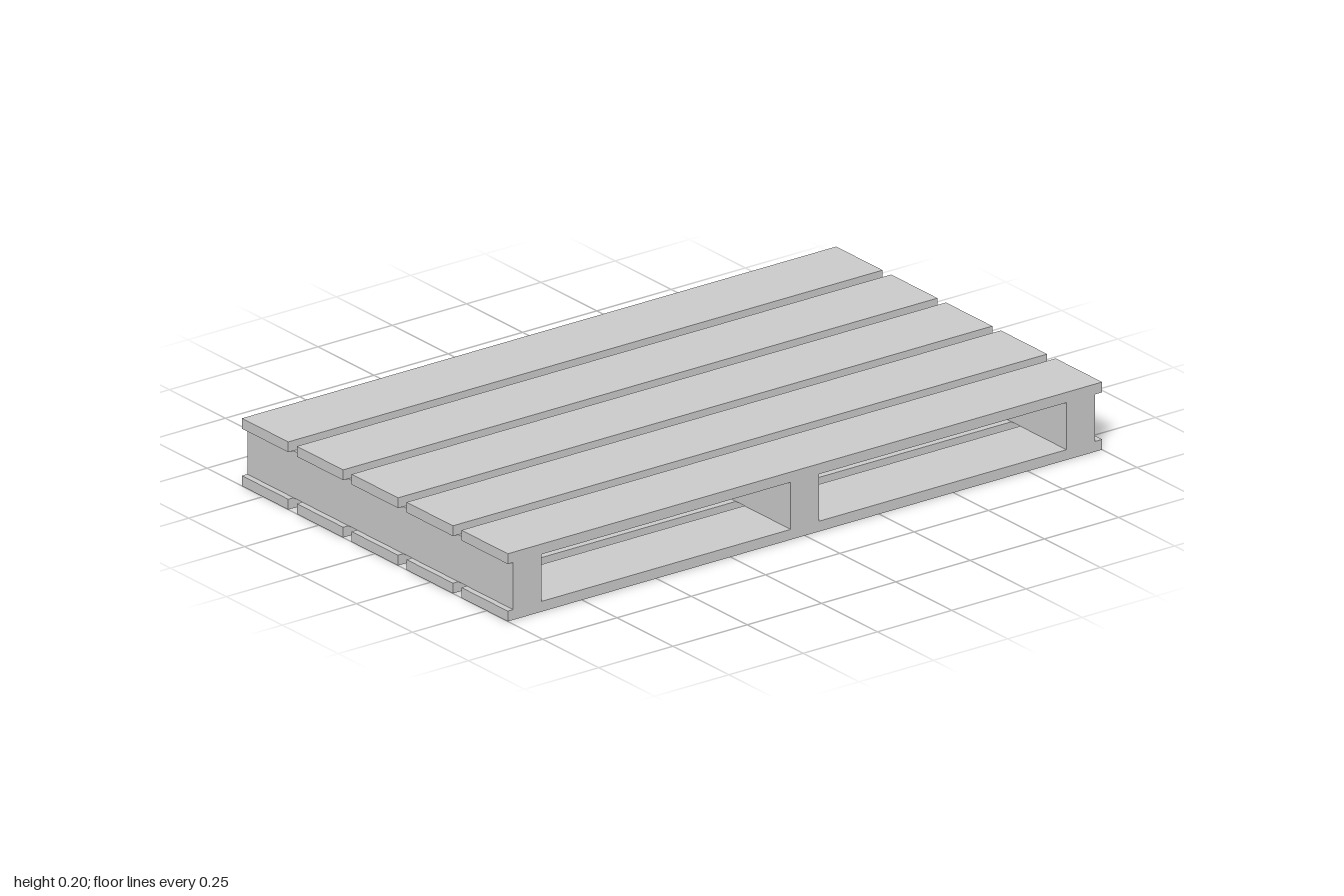
import * as THREE from 'three';

const DEPTH = 1.188;       // overall front-to-back size
const BOARD_W = 0.207;     // deck board width
const BOARD_T = 0.03;      // deck board thickness
const STRINGER_W = 0.096;
const STRINGER_H = 0.137;

// Box without its underside
function openBox(...size) {
  const geometry = new THREE.BoxGeometry(...size);
  const index = Array.from(geometry.index.array);
  index.splice(18, 6); // the six corners of the -y face
  geometry.setIndex(index);
  geometry.clearGroups();
  return geometry;
}

export function createModel() {
  const pallet = new THREE.Group();
  pallet.name = 'pallet';
  const wood = new THREE.MeshStandardMaterial({
    color: 0xcccccc, flatShading: true, side: THREE.DoubleSide,
  });

  const addPart = (name, geometry, x, y, z) => {
    const mesh = new THREE.Mesh(geometry, wood);
    mesh.name = name;
    mesh.position.set(x, y, z);
    pallet.add(mesh);
  };

  // Three stringers running front to back
  const stringer = new THREE.BoxGeometry(STRINGER_W, STRINGER_H, DEPTH);
  const stringers = { rightStringer: -0.934, middleStringer: 0, leftStringer: 0.928 };
  for (const [name, x] of Object.entries(stringers)) {
    addPart(name, stringer, x, BOARD_T + STRINGER_H / 2, 0);
  }

  // Five evenly spaced boards per deck; the bottom ones are hollow underneath
  const topBoard = new THREE.BoxGeometry(2, BOARD_T, BOARD_W);
  const bottomBoard = openBox(2, BOARD_T, BOARD_W);
  const pitch = (DEPTH - BOARD_W) / 4;
  for (let i = -2; i <= 2; i++) {
    addPart(`bottomBoard${i + 3}`, bottomBoard, 0, BOARD_T / 2, i * pitch);
    addPart(`topBoard${i + 3}`, topBoard, 0, BOARD_T * 1.5 + STRINGER_H, i * pitch);
  }
  return pallet;
}
